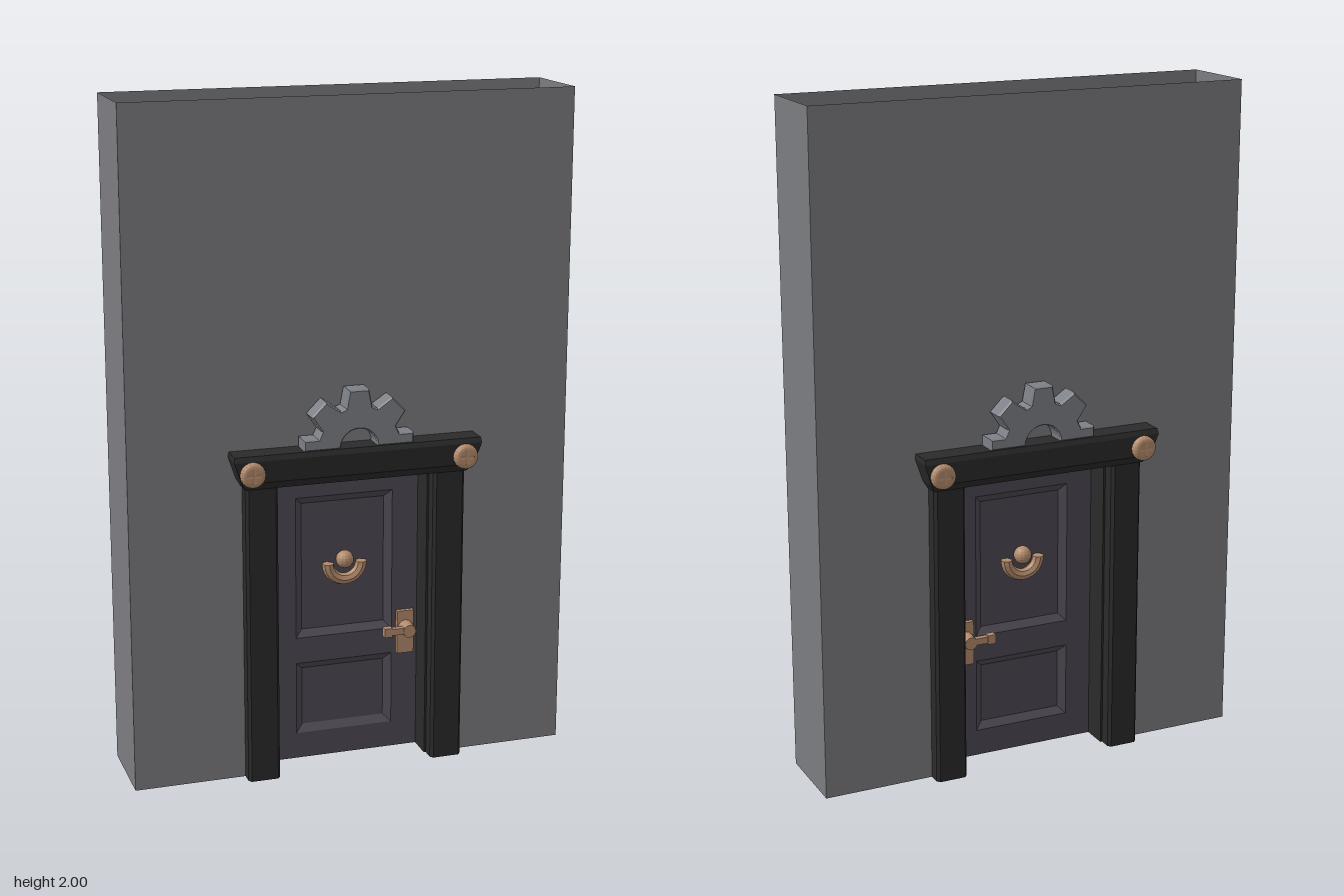
import * as THREE from 'three';

const mat = (name, color, extra = {}) => {
  const m = new THREE.MeshStandardMaterial({ color, flatShading: true, ...extra });
  m.name = name;
  return m;
};

export function createModel() {
  const wallGrey = mat('wall grey', 0x7b7c81, { side: THREE.DoubleSide });
  const gearGrey = mat('gear grey', 0x7d8087);
  const black = mat('frame black', 0x2a2a2a);
  const plum = mat('door plum', 0x4d4853, { side: THREE.DoubleSide });
  const bronze = mat('bronze', 0xb38b6c);

  const model = new THREE.Group();
  model.name = 'doorway';

  const add = (parent, name, geo, material, x = 0, y = 0, z = 0) => {
    const mesh = new THREE.Mesh(geo, material);
    mesh.name = name;
    mesh.position.set(x, y, z);
    parent.add(mesh);
    return mesh;
  };
  const box = (w, h, d) => new THREE.BoxGeometry(w, h, d);
  const poly = (pts, Type = THREE.Shape) => new Type(pts.map(([x, y]) => new THREE.Vector2(x, y)));
  const rect = (x0, x1, y0, y1) => [[x0, y0], [x1, y0], [x1, y1], [x0, y1]];

  // Wall: hollow shell, open above and below, with a doorway through it
  const W = 0.665, WZ = 0.13;
  const sheet = new THREE.ShapeGeometry(poly([
    [-W, 0], [-0.25, 0], [-0.25, 0.94], [0.25, 0.94], [0.25, 0], [W, 0], [W, 2], [-W, 2]]));
  for (const s of [1, -1]) {
    add(model, 'wallFace', sheet, wallGrey, 0, 0, s * WZ).rotation.y = s > 0 ? 0 : Math.PI;
    add(model, 'wallEnd', new THREE.PlaneGeometry(2 * WZ, 2), wallGrey, s * W, 1, 0)
      .rotation.y = s * Math.PI / 2;
    add(model, 'reveal', box(0.008, 0.91, 2 * WZ), black, s * 0.234, 0.455, 0);
  }
  add(model, 'revealTop', box(0.46, 0.012, 2 * WZ), black, 0, 0.906, 0);

  // Door slab with two sunken panels
  const panels = [rect(-0.15, 0.15, 0.08, 0.305), rect(-0.15, 0.15, 0.385, 0.822)];
  const doorShape = poly(rect(-0.233, 0.233, 0, 0.9));
  doorShape.holes = panels.map(p => poly(p, THREE.Path));
  add(model, 'door', new THREE.ExtrudeGeometry(doorShape, { depth: 0.1, bevelEnabled: false }), plum, 0, 0, -0.05);

  // Sloped moulding plus flat centre of a sunken panel
  const panelGeometry = ([[x0, y0], , [x1, y1]], inset, zOut, zIn) => {
    const outer = rect(x0, x1, y0, y1).map(p => [...p, zOut]);
    const inner = rect(x0 + inset, x1 - inset, y0 + inset, y1 - inset).map(p => [...p, zIn]);
    const v = [];
    const quad = (a, b, c, d) => v.push(...a, ...b, ...c, ...a, ...c, ...d);
    for (let i = 0; i < 4; i++) {
      const j = (i + 1) % 4;
      quad(outer[i], outer[j], inner[j], inner[i]);
    }
    quad(...inner);
    const g = new THREE.BufferGeometry();
    g.setAttribute('position', new THREE.Float32BufferAttribute(v, 3));
    g.computeVertexNormals();
    return g;
  };

  // Lintel: bar that flares outward from the jambs towards its top
  const rows = [[0.9, 0.335, 0.175], [0.925, 0.35, 0.197], [0.99, 0.372, 0.204], [1.005, 0.37, 0.198]];
  const lintelGeo = box(2, 3, 2, 1, 3, 1);
  const lintel = new THREE.BoxGeometry(2, 3, 2, 1, 3, 1);
  lintelGeo.dispose();
  const lp = lintel.attributes.position;
  for (let i = 0; i < lp.count; i++) {
    const [y, x, z] = rows[Math.round(lp.getY(i) + 1.5)];
    lp.setXYZ(i, Math.sign(lp.getX(i)) * x, y, lp.getZ(i) > 0 ? z : WZ);
  }

  // Jamb: post with chamfered front corners
  const jamb = new THREE.ExtrudeGeometry(
    poly([[-0.048, -0.13], [-0.048, -0.165], [-0.04, -0.175], [0.04, -0.175], [0.048, -0.165], [0.048, -0.13]]),
    { depth: 0.91, bevelEnabled: false }).rotateX(-Math.PI / 2);

  // Half gear with eight-fold teeth and a round bore
  const gearPts = [[0.165, 0], [0.165, 0.033], [0.122, 0.033]];
  for (let k = 1; k < 4; k++) {
    const a = k * Math.PI / 4, c = Math.cos(a), s = Math.sin(a);
    for (const [r, t] of [[0.118, -0.04], [0.17, -0.03], [0.17, 0.03], [0.118, 0.04]])
      gearPts.push([r * c - t * s, r * s + t * c]);
  }
  gearPts.push([-0.122, 0.033], [-0.165, 0.033], [-0.165, 0]);
  for (let i = 0; i <= 12; i++) {
    const a = Math.PI * (1 - i / 12);
    gearPts.push([0.055 * Math.cos(a), 0.055 * Math.sin(a)]);
  }
  const gear = new THREE.ExtrudeGeometry(poly(gearPts),
    { depth: 0.052, bevelEnabled: true, bevelThickness: 0.006, bevelSize: 0.004, bevelOffset: -0.004, bevelSegments: 1 });

  // Domed screw head with a cross-shaped slot
  const screwShape = new THREE.Shape().absarc(0, 0, 0.024, 0, Math.PI * 2);
  const a = 0.006, b = 0.021;
  screwShape.holes.push(poly([[a, a], [a, b], [-a, b], [-a, a], [-b, a], [-b, -a],
    [-a, -a], [-a, -b], [a, -b], [a, -a], [b, -a], [b, a]], THREE.Path));
  const screw = new THREE.ExtrudeGeometry(screwShape, {
    depth: 0.006, curveSegments: 10, bevelEnabled: true, bevelThickness: 0.012, bevelSize: 0.013,
    bevelOffset: 0, bevelSegments: 3 });
  // Keep the slot walls upright while the rim stays rounded
  const sp = screw.attributes.position;
  for (let i = 0; i < sp.count; i++) {
    const x = sp.getX(i), y = sp.getY(i);
    if (Math.hypot(x, y) < 0.0235) {
      const snap = v => Math.sign(v) * (Math.abs(v) < 0.0075 ? a : b);
      sp.setXY(i, snap(x), snap(y));
    }
  }
  screw.computeVertexNormals();

  // Everything that appears on both faces of the doorway
  for (const s of [1, -1]) {
    const face = new THREE.Group();
    face.name = s > 0 ? 'frontFace' : 'backFace';
    face.rotation.y = s > 0 ? 0 : Math.PI;
    model.add(face);

    add(face, 'lintel', lintel, black);
    add(face, 'gear', gear, gearGrey, 0, 1.003, 0.136);
    for (const p of panels) add(face, 'doorPanel', panelGeometry(p, 0.022, 0.05, 0.034), plum);
    for (const m of [1, -1]) {
      add(face, 'jamb', jamb, black, m * 0.284, 0, 0);
      add(face, 'screwHead', screw, bronze, m * 0.32, 0.953, 0.205);
      add(face, 'screwSlotFloor', new THREE.CylinderGeometry(0.026, 0.026, 0.008, 16), bronze,
        m * 0.32, 0.953, 0.204).rotation.x = Math.PI / 2;
    }

    // Knocker: ball and hanging half ring
    const knocker = new THREE.Group();
    knocker.name = 'knocker';
    knocker.position.set(0, 0.612, 0.034);
    face.add(knocker);
    add(knocker, 'knockerBall', new THREE.SphereGeometry(0.027, 14, 10), bronze, 0, 0.01, 0.022);
    add(knocker, 'knockerRing', new THREE.TorusGeometry(0.052, 0.018, 8, 14, Math.PI), bronze, 0, 0, 0.02)
      .rotation.z = Math.PI;
    for (const m of [1, -1])
      add(knocker, 'knockerRingEnd', new THREE.CircleGeometry(0.018, 8), bronze, m * 0.052, 0, 0.02)
        .rotation.x = -Math.PI / 2;

    // Handle: plate, spindle and lever pointing to the middle of the door
    const handle = new THREE.Group();
    handle.name = 'handle';
    handle.position.set(s * 0.19, 0.385, 0.05);
    face.add(handle);
    add(handle, 'handlePlate', box(0.052, 0.135, 0.014), bronze, 0, -0.012, 0.007);
    add(handle, 'handleSpindle', new THREE.CylinderGeometry(0.02, 0.024, 0.05, 12), bronze, 0, 0.003, 0.03)
      .rotation.x = Math.PI / 2;
    add(handle, 'handleLever', box(0.07, 0.02, 0.018), bronze, s * -0.03, 0.005, 0.044);
    add(handle, 'handleTip', box(0.024, 0.028, 0.022), bronze, s * -0.067, 0.005, 0.044);
  }
  return model;
}
